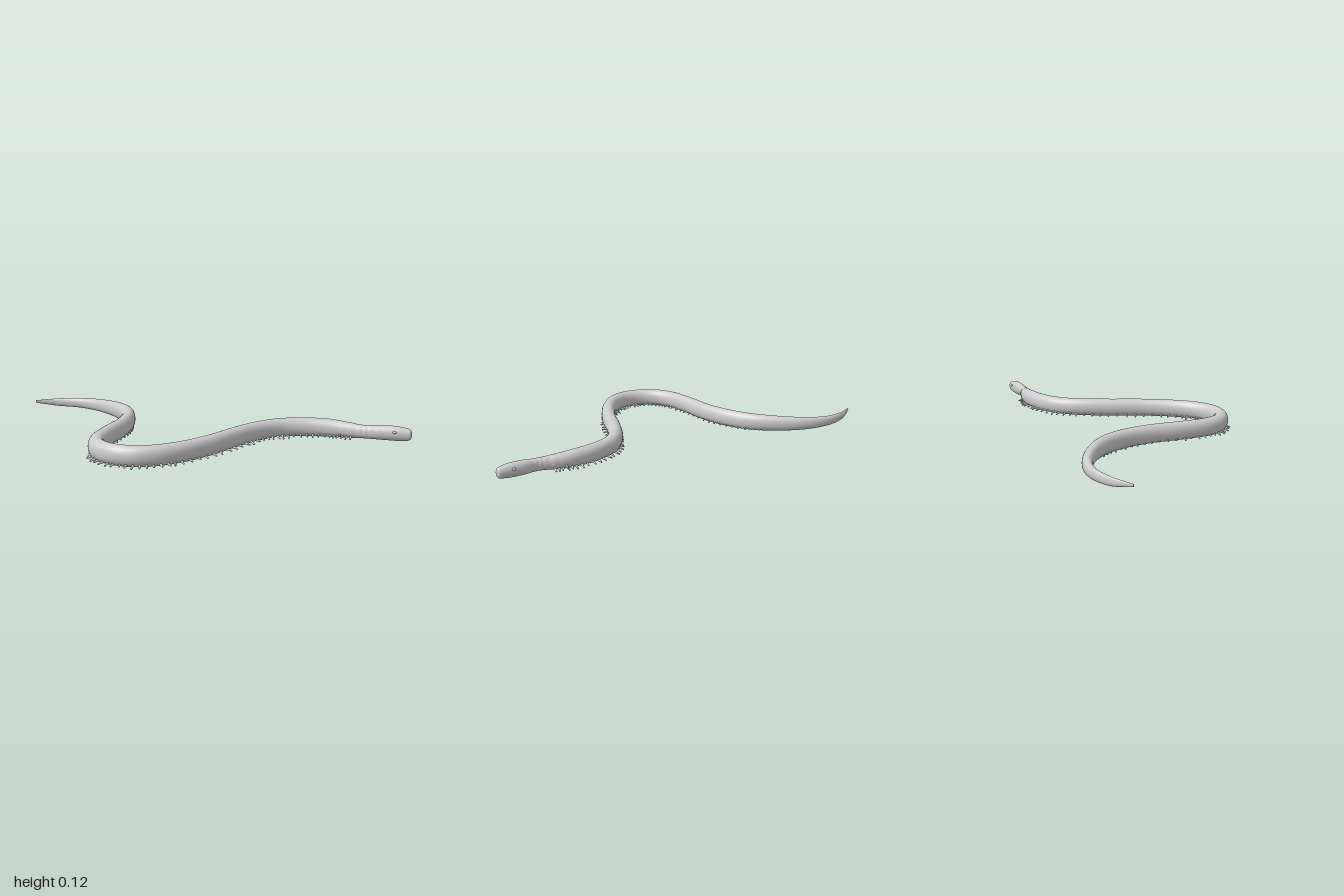
import * as THREE from 'three';

// Spine stations from tail to head: x, z, centre height, half width, half height
const STATIONS = [
  [-0.995, -0.89, 0.078, 0.004, 0.009], [-0.85, -0.865, 0.068, 0.014, 0.026],
  [-0.70, -0.79, 0.066, 0.024, 0.034], [-0.59, -0.66, 0.066, 0.032, 0.043],
  [-0.52, -0.48, 0.068, 0.039, 0.052], [-0.495, -0.29, 0.07, 0.045, 0.058],
  [-0.53, -0.11, 0.071, 0.047, 0.06], [-0.62, 0.08, 0.071, 0.048, 0.06],
  [-0.76, 0.27, 0.071, 0.048, 0.06], [-0.862, 0.43, 0.071, 0.049, 0.06],
  [-0.892, 0.56, 0.071, 0.05, 0.06], [-0.855, 0.69, 0.071, 0.05, 0.06],
  [-0.76, 0.785, 0.071, 0.05, 0.06], [-0.635, 0.818, 0.071, 0.049, 0.06],
  [-0.475, 0.792, 0.07, 0.048, 0.06], [-0.26, 0.70, 0.07, 0.048, 0.06],
  [-0.05, 0.572, 0.07, 0.048, 0.06], [0.14, 0.476, 0.07, 0.05, 0.059],
  [0.30, 0.443, 0.07, 0.051, 0.058], [0.46, 0.476, 0.069, 0.05, 0.058],
  [0.595, 0.55, 0.067, 0.049, 0.056], [0.675, 0.62, 0.064, 0.044, 0.049],
  [0.74, 0.69, 0.062, 0.034, 0.042], [0.785, 0.73, 0.062, 0.032, 0.041],
  [0.85, 0.772, 0.064, 0.038, 0.045], [0.915, 0.82, 0.063, 0.036, 0.045],
  [0.968, 0.86, 0.06, 0.028, 0.037],
];
const path = new THREE.CatmullRomCurve3(STATIONS.map(([x, z, y]) => new THREE.Vector3(x, y, z)));
const sizes = new THREE.CatmullRomCurve3(
  STATIONS.map((s) => new THREE.Vector3(s[3], s[4], 0)), false, 'catmullrom', 0.5);

// Position, half sizes and horizontal frame at t along the spine
function frameAt(t) {
  const pos = path.getPoint(t), size = sizes.getPoint(t);
  const dir = path.getTangent(t).setY(0).normalize();
  return { pos, w: size.x, h: size.y, dir, side: new THREE.Vector3(-dir.z, 0, dir.x) };
}

function bodyGeometry(steps, sides) {
  const rings = [];
  const addCap = (t, sign) => {
    const f = frameAt(t), cap = [];
    for (let k = 1; k <= 7; k++) {
      const a = k / 7 * Math.PI / 2, s = Math.max(Math.cos(a), 0.001);
      cap.push({ ...f, pos: f.pos.clone().addScaledVector(f.dir, sign * f.w * 0.8 * Math.sin(a)), w: f.w * s, h: f.h * s });
    }
    rings.push(...(sign < 0 ? cap.reverse() : cap));
  };
  addCap(0, -1);
  for (let i = 0; i <= steps; i++) {
    const t = i / steps, f = frameAt(t);
    // folds of skin round the neck
    const neck = Math.exp(-(((t - 0.855) / 0.045) ** 2));
    const fold = 1 + 0.035 * neck * Math.sin(t * 300);
    f.w *= fold;
    f.h *= 1 + (fold - 1) * 0.5;
    rings.push(f);
  }
  addCap(1, 1);

  const pos = [], index = [];
  const round = (v) => Math.sign(v) * Math.abs(v) ** 0.92;
  rings.forEach((r, i) => {
    for (let j = 0; j < sides; j++) {
      const a = j / sides * Math.PI * 2;
      const p = r.pos.clone().addScaledVector(r.side, r.w * round(Math.cos(a)));
      pos.push(p.x, p.y + r.h * round(Math.sin(a)), p.z);
      if (i === 0) continue;
      const k = (j + 1) % sides, b = i * sides, c = b - sides;
      index.push(c + j, b + j, c + k, c + k, b + j, b + k);
    }
  });
  const g = new THREE.BufferGeometry();
  g.setAttribute('position', new THREE.Float32BufferAttribute(pos, 3));
  g.setIndex(index);
  g.computeVertexNormals();
  return g;
}

export function createModel() {
  const group = new THREE.Group();
  const material = new THREE.MeshStandardMaterial({ color: 0xcccccc, side: THREE.DoubleSide });
  const add = (name, geometry, parent = group) => {
    const m = new THREE.Mesh(geometry, material);
    m.name = name;
    parent.add(m);
    return m;
  };
  let seed = 7;
  const rand = () => (seed = (seed * 16807) % 2147483647) / 2147483647;

  add('body', bodyGeometry(340, 32));

  // Two rows of stubby feet along the underside
  const feet = new THREE.Group();
  feet.name = 'feet';
  group.add(feet);
  const footGeometry = new THREE.LatheGeometry(
    [[0.009, 0], [0.007, 0.35], [0.005, 0.65], [0.0055, 0.85], [0.003, 0.97], [0, 1]]
      .map(([x, y]) => new THREE.Vector2(x, y)), 8);
  const up = new THREE.Vector3(0, 1, 0);
  const addFoot = (t, s, reach, y0, y1) => {
    const f = frameAt(t);
    const at = (d, y, along) => f.pos.clone().setY(y)
      .addScaledVector(f.side, s * d).addScaledVector(f.dir, along);
    const a = at(f.w * 0.62, y0, 0), b = at(f.w + reach, y1, (rand() - 0.5) * 0.015);
    const foot = add('foot', footGeometry, feet);
    const d = b.clone().sub(a);
    foot.position.copy(a);
    foot.scale.y = d.length();
    foot.quaternion.setFromUnitVectors(up, d.normalize());
  };
  const count = 66, first = path.getUtoTmapping(0.2), last = path.getUtoTmapping(0.915);
  for (let i = 0; i < count; i++) {
    const t = first + (last - first) * i / (count - 1);
    // shorter feet towards the tail
    const grow = Math.min(1, Math.max(0, (t - 0.28) / 0.12));
    for (const s of [-1, 1]) {
      const reach = -0.012 + grow * (0.012 + 0.02 * rand());
      addFoot(t, s, reach, 0.027, 0.009 + 0.01 * rand());
    }
  }
  // Larger pair of feet just behind the neck
  addFoot(0.795, -1, 0.025, 0.04, 0.03);
  addFoot(0.795, 1, 0.012, 0.04, 0.03);

  // Slight swellings on the sides of the head
  for (const s of [-1, 1]) {
    const f = frameAt(0.955);
    const cheek = add('cheek', new THREE.SphereGeometry(0.012, 14, 10));
    cheek.position.copy(f.pos).addScaledVector(f.side, s * (f.w - 0.008));
    cheek.position.y += 0.012;
    cheek.scale.set(1.3, 0.8, 1);
  }
  return group;
}
